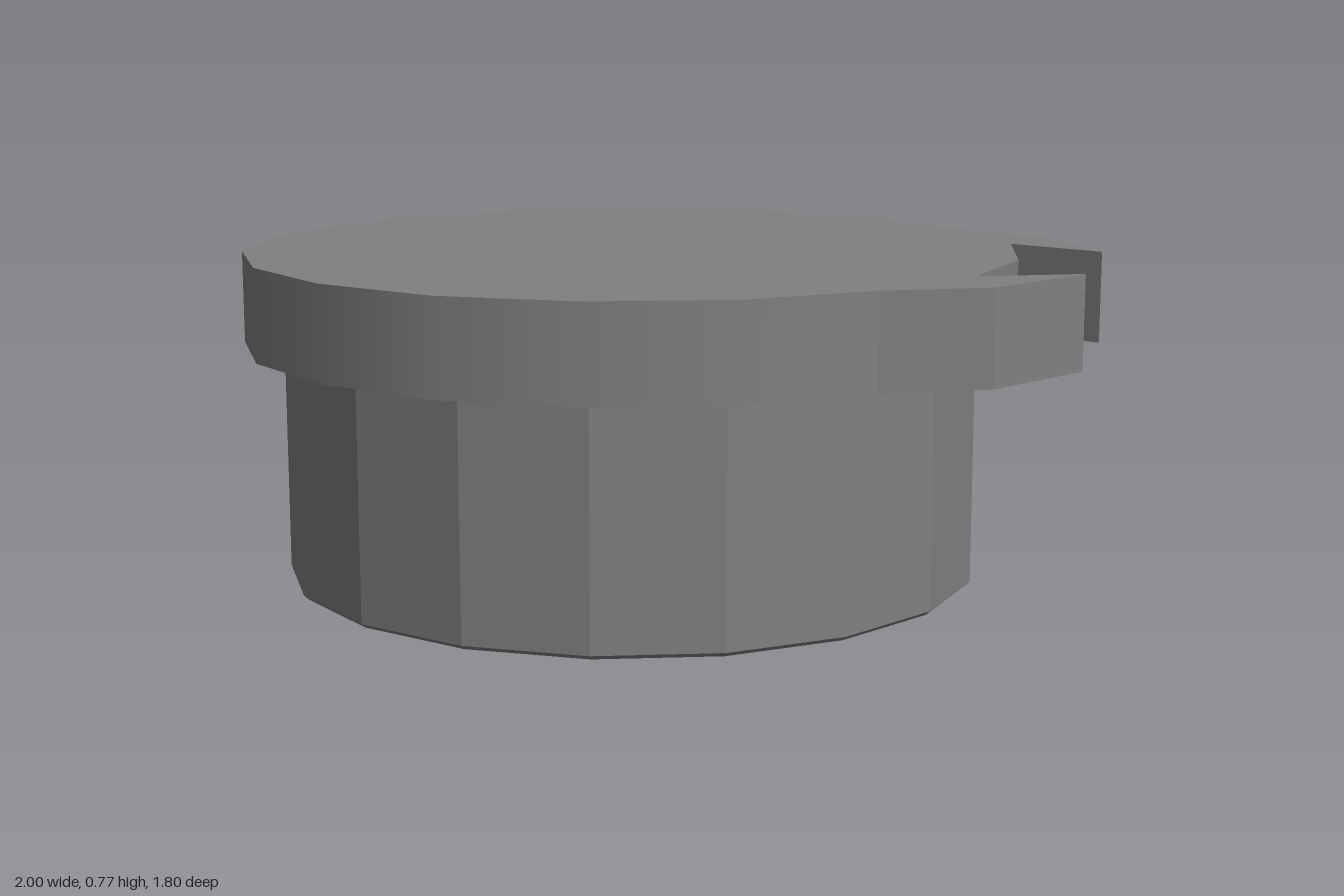
import * as THREE from 'three';

const CX = -0.085, R = 0.915;      // centre and radius of the lid
const Y0 = 0.555, Y1 = 0.77;       // lid underside and top
const SIDES = 18, STEP = (Math.PI * 2) / SIDES;

const rim = (k) => [CX + R * Math.cos(k * STEP), R * Math.sin(k * STEP)];

export function createModel() {
  const group = new THREE.Group();
  const grey = new THREE.MeshStandardMaterial({ color: 0x808080 });
  grey.name = 'grey';
  const flatGrey = grey.clone();
  flatGrey.flatShading = true;

  const add = (name, geometry, material, x = 0, y = 0, z = 0) => {
    const mesh = new THREE.Mesh(geometry, material);
    mesh.name = name;
    mesh.position.set(x, y, z);
    group.add(mesh);
    return mesh;
  };

  // Faceted base with a tiny chamfer at the foot
  const ring = (top, bottom, h) =>
    new THREE.CylinderGeometry(top, bottom, h, SIDES, 1, true, Math.PI / 2);
  add('base', ring(0.8225, 0.8225, Y0 - 0.01), flatGrey, CX, (Y0 + 0.01) / 2);
  add('baseChamfer', ring(0.8225, 0.812, 0.01), flatGrey, CX, 0.005);
  add('baseBottom', new THREE.CircleGeometry(0.812, SIDES).rotateX(Math.PI / 2), grey, CX);

  // Lid outline: a round edge with two hooked teeth at +x
  const tooth = [rim(2), [0.84, 0.478], [1, 0.207], rim(1)];
  const mirrored = tooth.map(([x, z]) => [x, -z]).reverse();
  const outline = [rim(0), ...[...tooth].reverse()];
  for (let k = 3; k < SIDES - 2; k++) outline.push(rim(k));
  outline.push(...[...mirrored].reverse());
  const shape = new THREE.Shape(outline.map(([x, z]) => new THREE.Vector2(x, z)));
  add('lidTop', new THREE.ShapeGeometry(shape).rotateX(-Math.PI / 2), grey, 0, Y1);
  add('lidUnderside', new THREE.ShapeGeometry(shape).rotateX(Math.PI / 2), grey, 0, Y0);

  // Smooth round walls: the main rim and the short arc between the teeth
  const H = Y1 - Y0, YM = (Y0 + Y1) / 2;
  const arc = (from, to) => new THREE.CylinderGeometry(
    R, R, H, from - to, 1, true, Math.PI / 2 - from * STEP, (from - to) * STEP);
  add('lidRim', arc(16, 2), grey, CX, YM);
  add('notchWall', arc(1, -1), grey, CX, YM);

  // Flat walls of the teeth
  for (const [name, pts] of [['frontTooth', tooth], ['backTooth', mirrored]]) {
    for (let i = 0; i < 3; i++) {
      const [ax, az] = pts[i], [bx, bz] = pts[i + 1];
      const wall = add(name, new THREE.PlaneGeometry(Math.hypot(bx - ax, bz - az), H),
        grey, (ax + bx) / 2, YM, (az + bz) / 2);
      wall.rotation.y = Math.atan2(az - bz, bx - ax);
    }
  }
  return group;
}
